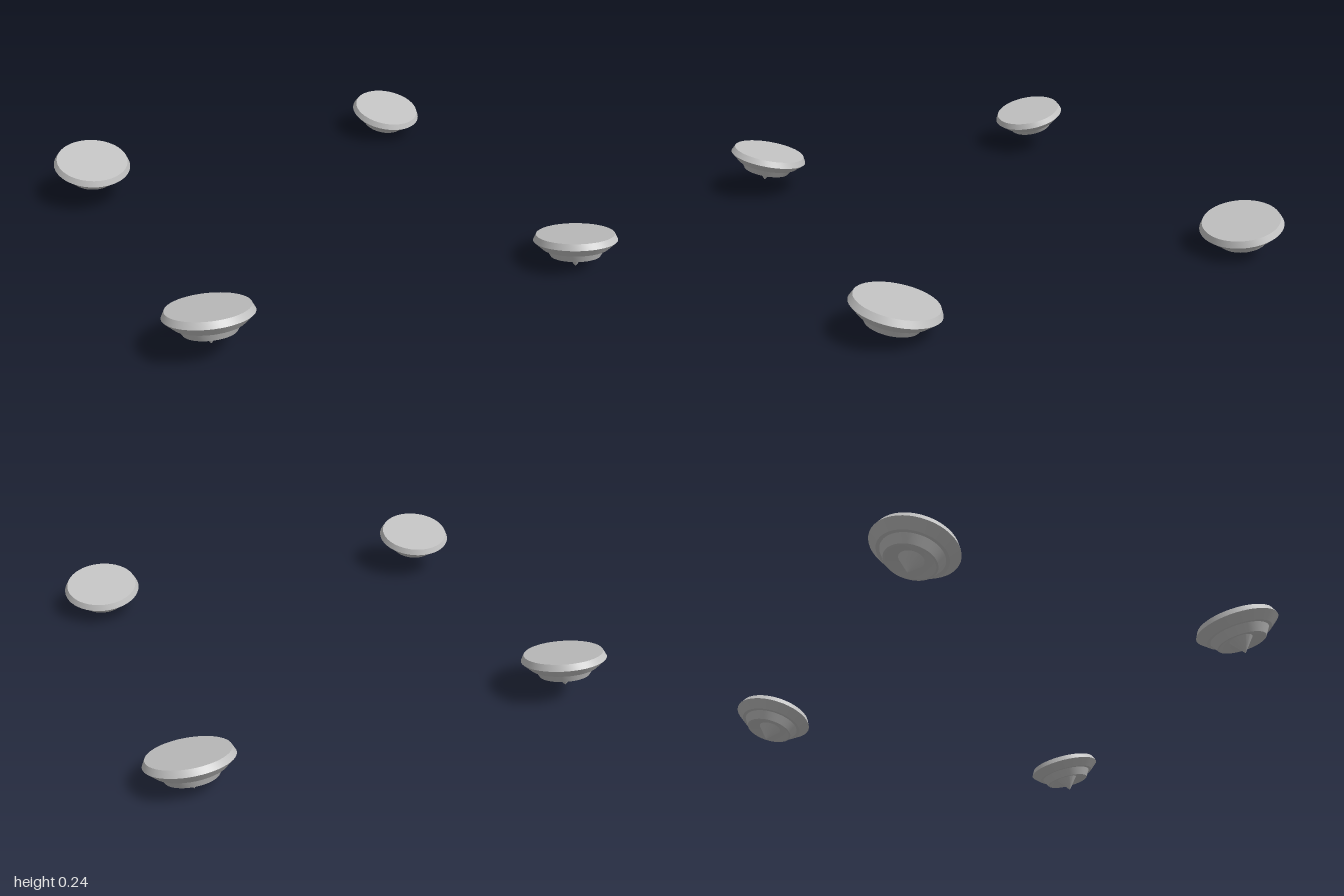
import * as THREE from 'three';
import { toCreasedNormals } from 'three/addons/utils/BufferGeometryUtils.js';

const deg = Math.PI / 180;

// Turned part: profile of [radius, height], listed from bottom to top
function turned(name, profile, material) {
  const pts = profile.map(([r, y]) => new THREE.Vector2(r, y));
  const geo = toCreasedNormals(new THREE.LatheGeometry(pts, 48), 20 * deg);
  const mesh = new THREE.Mesh(geo, material);
  mesh.name = name;
  return mesh;
}

// One pod, its origin at the centre of the flat top
function createPod(material) {
  const pod = new THREE.Group();
  // Wide tapered housing with a chamfered rim and a flat top
  pod.add(turned('housing', [[0.11, -0.06], [0.14, -0.06], [0.177, -0.026], [0.164, 0], [0, 0]], material));
  // Stepped bell with a dished recess underneath
  pod.add(turned('bell', [[0, -0.078], [0.05, -0.08], [0.097, -0.096], [0.105, -0.095], [0.126, -0.06]], material));
  // Pointed cone in the middle of the recess
  pod.add(turned('centreCone', [[0, -0.144], [0.01, -0.132], [0.05, -0.08]], material));
  return pod;
}

export function createModel() {
  const model = new THREE.Group();
  model.name = 'podSet';
  const grey = new THREE.MeshStandardMaterial({ color: 0xc2c2c2 });
  grey.name = 'grey';

  // Two pods per side, tilted towards the middle; the left pair sits lower and wider
  const pairs = [
    { side: 'right', x: -0.823, y: 0.205, z: 0.722 },
    { side: 'left', x: 0.821, y: 0.142, z: 0.797 },
  ];
  for (const { side, x, y, z } of pairs) {
    for (const s of [1, -1]) {
      const pod = createPod(grey);
      pod.name = side + (s > 0 ? 'FrontPod' : 'BackPod');
      pod.position.set(x, y, s * z);
      pod.rotation.set(-s * 13.3 * deg, 0, -2.5 * deg);
      model.add(pod);
    }
  }
  return model;
}
